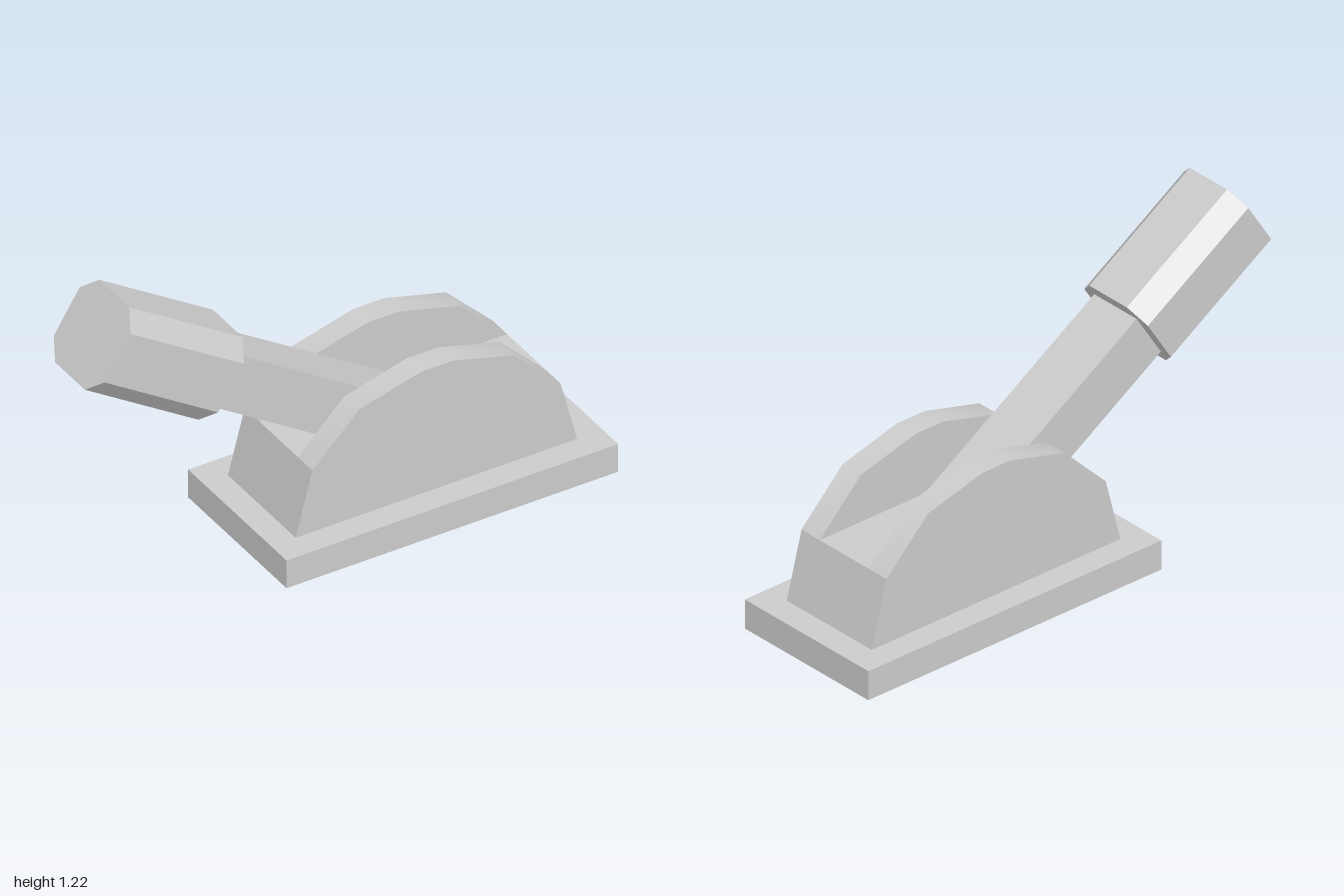
import * as THREE from 'three';
import { toCreasedNormals } from 'three/addons/utils/BufferGeometryUtils.js';

const flat = new THREE.MeshStandardMaterial({ color: 0xcccccc, flatShading: true });
const smooth = new THREE.MeshStandardMaterial({ color: 0xcccccc });

// Extrudes an outline of [x, y] points, centred on its depth
function prism(points, depth) {
  const shape = new THREE.Shape(points.map(([x, y]) => new THREE.Vector2(x, y)));
  const geometry = new THREE.ExtrudeGeometry(shape, { depth, bevelEnabled: false });
  return geometry.translate(0, 0, -depth / 2);
}

function part(name, geometry, material = flat) {
  const mesh = new THREE.Mesh(geometry, material);
  mesh.name = name;
  return mesh;
}

export function createModel() {
  const model = new THREE.Group();
  model.name = 'lever';

  // Base plate
  const base = part('basePlate', new THREE.BoxGeometry(1.33, 0.115, 0.64));
  base.position.set(0.335, 0.0575, 0);
  model.add(base);

  // Solid lower housing with sloping ends
  model.add(part('housing', prism(
    [[-0.232, 0.115], [0.897, 0.115], [0.83, 0.37], [-0.165, 0.37]], 0.44)));

  // Arched cheeks on both sides of the slot, with softly shaded rims
  const arch = [[-0.165, 0.37], [0.83, 0.37], [0.643, 0.556],
    [0.395, 0.622], [0.27, 0.622], [0.022, 0.556]];
  for (const side of [-1, 1]) {
    const cheek = part(side > 0 ? 'frontCheek' : 'backCheek',
      toCreasedNormals(prism(arch, 0.095), 0.6), smooth);
    cheek.position.z = side * 0.1735;
    model.add(cheek);
  }

  // Tilted handle: local x runs down the stem, origin at the grip's lower face
  const handle = new THREE.Group();
  handle.name = 'handle';
  handle.position.set(-0.457, 0.786, 0);
  handle.rotation.z = -0.567;
  model.add(handle);

  const stem = part('stem', new THREE.BoxGeometry(0.98, 0.205, 0.22));
  stem.position.x = 0.47;
  handle.add(stem);

  // Grip with chamfered edges
  const r = 0.165, c = 0.097;
  const grip = part('grip', prism(
    [[r, c], [c, r], [-c, r], [-r, c], [-r, -c], [-c, -r], [c, -r], [r, -c]], 0.54));
  grip.rotation.y = Math.PI / 2;
  grip.position.x = -0.27;
  handle.add(grip);

  return model;
}
